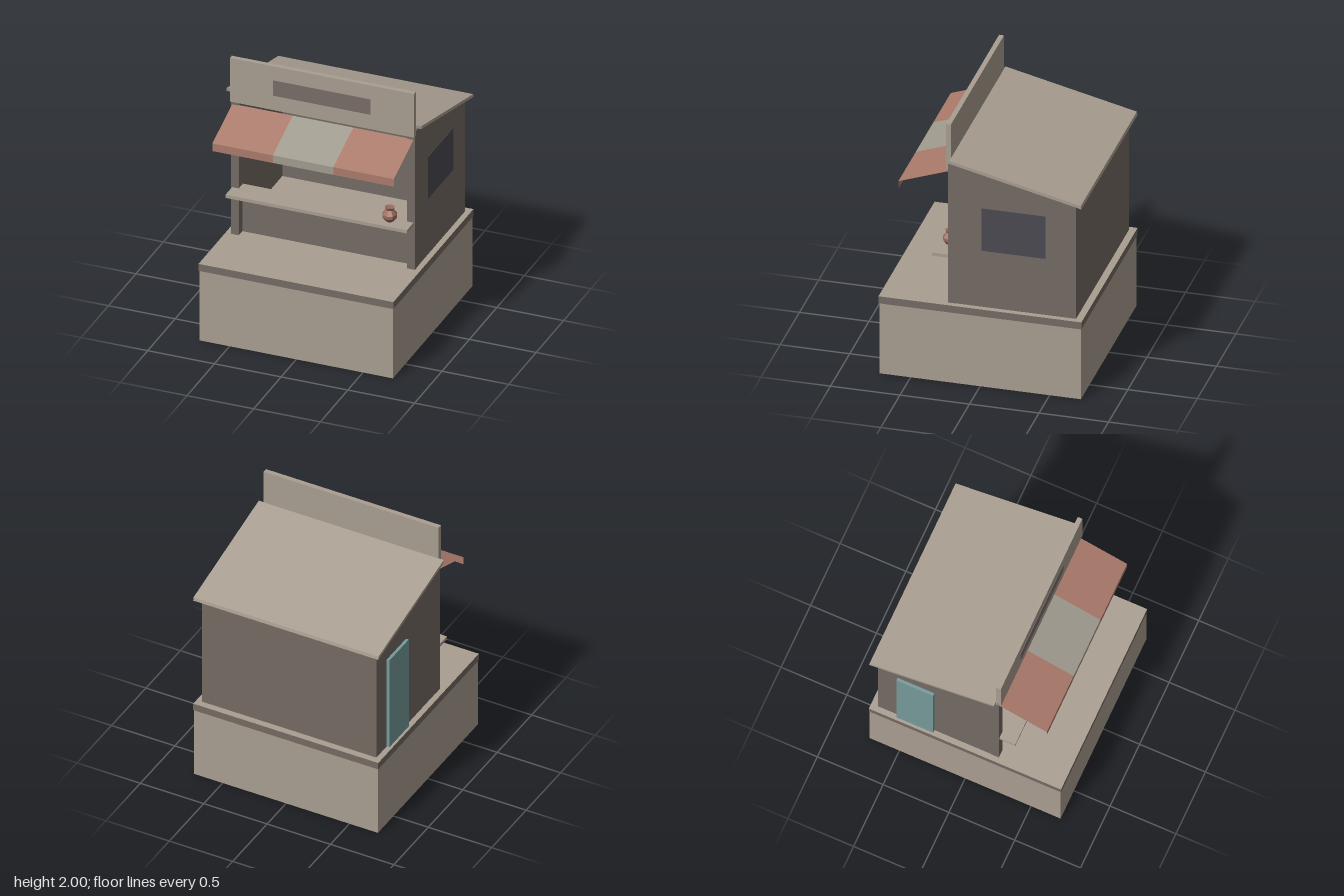
import * as THREE from 'three';

const mat = (name, color, side = THREE.FrontSide) => {
  const m = new THREE.MeshStandardMaterial({ color, side });
  m.name = name;
  return m;
};

export function createModel() {
  const D = THREE.DoubleSide;
  const stone = mat('paleStone', 0xa99e91, D);
  const wall = mat('darkPlaster', 0x746a63, D);
  const panel = mat('signPanel', 0x786b67);
  const red = mat('awningRed', 0xaa7a6b, D);
  const cream = mat('awningCream', 0xa09b8e, D);
  const glass = mat('windowGlass', 0x4a4a51);
  const teal = mat('doorTeal', 0x769a9a);
  const clay = mat('potClay', 0x99695a, D);
  clay.flatShading = true;

  const model = new THREE.Group();
  const add = (name, geometry, material) => {
    const mesh = new THREE.Mesh(geometry, material);
    mesh.name = name;
    model.add(mesh);
    return mesh;
  };
  // Box given by its lower and upper limits on each axis
  const box = (name, material, x0, x1, y0, y1, z0, z1) =>
    add(name, new THREE.BoxGeometry(x1 - x0, y1 - y0, z1 - z0), material)
      .position.set((x0 + x1) / 2, (y0 + y1) / 2, (z0 + z1) / 2);
  // Side outline in [z, y] extruded along x
  const sideSlab = (name, material, points, x0, x1) => {
    const shape = new THREE.Shape(points.map(([z, y]) => new THREE.Vector2(-z, y)));
    const geometry = new THREE.ExtrudeGeometry(shape, { depth: x1 - x0, bevelEnabled: false });
    geometry.rotateY(Math.PI / 2);
    geometry.translate(x0, 0, 0);
    add(name, geometry, material);
  };
  // Four upright sheets around a square, open above and below
  const ring = (name, material, half, y0, y1) => {
    for (let i = 0; i < 4; i++) {
      const sheet = new THREE.PlaneGeometry(half * 2, y1 - y0);
      sheet.translate(0, (y0 + y1) / 2, half);
      sheet.rotateY(i * Math.PI / 2);
      add(name, sheet, material);
    }
  };

  // Hollow plinth with a dark rim and a pale deck
  ring('plinthSide', stone, 0.725, 0, 0.55);
  ring('deckRim', wall, 0.73, 0.55, 0.605);
  const deck = new THREE.PlaneGeometry(1.46, 1.46);
  deck.rotateX(-Math.PI / 2);
  add('deck', deck, stone).position.y = 0.605;

  // Kiosk walls, cut to the roof slope
  const base = 0.605;
  const outline = [[0.18, base], [0.18, 1.70], [-0.68, 1.50], [-0.68, base]];
  sideSlab('rightWall', wall, outline, -0.688, -0.678);
  sideSlab('leftWall', wall, outline, 0.678, 0.688);
  box('backWall', wall, -0.688, 0.688, base, 1.50, -0.68, -0.67);
  box('frontPanel', wall, -0.68, 0.68, base, 0.95, 0.165, 0.175);
  for (const s of [-1, 1]) {
    box('frontPost', wall, s * 0.66 - 0.03, s * 0.66 + 0.03, base, 1.69, 0.175, 0.24);
  }

  // Sloping roof
  sideSlab('roof', stone, [[0.222, 1.737], [0.217, 1.712], [-0.73, 1.49], [-0.725, 1.515]], -0.73, 0.73);

  // Signboard with a plain panel
  box('signboard', stone, -0.69, 0.69, 1.655, 2, 0.22, 0.255);
  box('signPanel', panel, -0.365, 0.365, 1.77, 1.89, 0.252, 0.258);

  // Serving counter
  box('counter', stone, -0.68, 0.68, 0.95, 0.975, 0.165, 0.36);

  // Cloth awning: sloping sheet and hanging valance in three stripes
  const awning = [[0.235, 1.63], [0.6, 1.5], [0.6, 1.44]];
  const stripes = [[-0.68, -0.227, red], [-0.227, 0.227, cream], [0.227, 0.68, red]];
  for (const [x0, x1, material] of stripes) {
    for (let i = 0; i < 2; i++) {
      const [[z0, y0], [z1, y1]] = [awning[i], awning[i + 1]];
      const geometry = new THREE.BufferGeometry();
      geometry.setAttribute('position', new THREE.Float32BufferAttribute(
        [x0, y0, z0, x0, y1, z1, x1, y1, z1, x1, y0, z0], 3));
      geometry.setIndex([0, 1, 2, 0, 2, 3]);
      geometry.computeVertexNormals();
      add(i ? 'awningValance' : 'awningCloth', geometry, material);
    }
  }

  // Window on one side, door on the other
  box('window', glass, 0.685, 0.691, 1.045, 1.375, -0.46, 0);
  box('door', teal, -0.71, -0.68, base, 1.35, -0.53, -0.25);

  // Clay pot on the counter
  const profile = [[0, 0], [0.03, 0], [0.053, 0.032], [0.053, 0.055], [0.028, 0.088], [0.037, 0.107], [0, 0.1]];
  add('pot', new THREE.LatheGeometry(profile.map(([r, y]) => new THREE.Vector2(r, y)), 8), clay)
    .position.set(0.515, 0.975, 0.272);

  return model;
}
